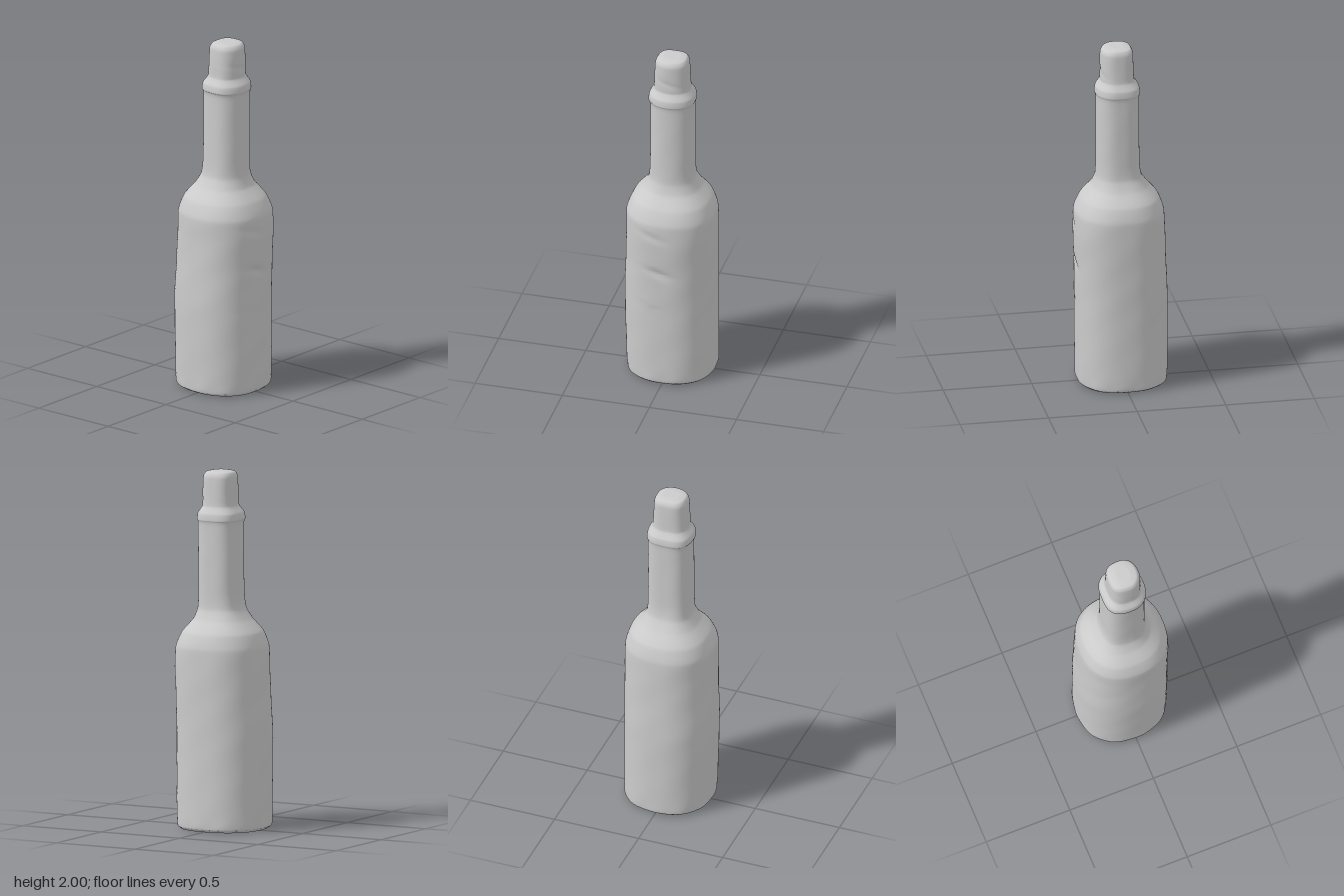
import * as THREE from 'three';

const SIDES = 96;
const STEPS = 10; // rings between two profile rows

// Profile rows: y, left edge (-x), right edge (+x), front (+z), back (-z)
const PROFILE = [
  [0.00, -0.225, 0.225, 0.23, -0.235],
  [0.012, -0.242, 0.242, 0.242, -0.25],
  [0.05, -0.25, 0.25, 0.25, -0.258],
  [0.50, -0.261, 0.251, 0.254, -0.259],
  [0.72, -0.255, 0.252, 0.256, -0.25],
  [0.90, -0.25, 0.253, 0.262, -0.245],
  [1.02, -0.248, 0.25, 0.257, -0.239],
  [1.10, -0.216, 0.222, 0.222, -0.21],
  [1.17, -0.157, 0.165, 0.165, -0.15],
  [1.23, -0.125, 0.135, 0.143, -0.113],
  [1.32, -0.118, 0.129, 0.139, -0.1],
  [1.69, -0.116, 0.13, 0.139, -0.098],
  [1.73, -0.126, 0.136, 0.146, -0.104],
  [1.765, -0.121, 0.131, 0.141, -0.098],
  [1.805, -0.097, 0.108, 0.116, -0.072],
  [1.87, -0.094, 0.103, 0.116, -0.068],
  [1.965, -0.088, 0.098, 0.114, -0.065],
  [1.992, -0.074, 0.084, 0.098, -0.051],
  [2.00, -0.04, 0.05, 0.06, -0.015],
  [2.00, 0.005, 0.005, 0.02, 0.02],
];

// Short slanted dents pressed into the front: x, y, depth
const DENTS = [[-0.02, 0.715, 0.012], [-0.06, 0.95, 0.007], [-0.07, 0.48, 0.005], [0, 1.86, 0.004]];

function profileAt(t) {
  const i = Math.min(Math.floor(t), PROFILE.length - 2), f = t - i;
  const row = (k) => PROFILE[THREE.MathUtils.clamp(k, 0, PROFILE.length - 1)];
  return row(i).map((p, c) => {
    const q = row(i + 1)[c];
    // gentle tangents keep unevenly spaced rows from overshooting
    const m0 = (q - row(i - 1)[c]) * 0.3, m1 = (row(i + 2)[c] - p) * 0.3;
    const g = f * f * (3 - 2 * f);
    const v = p + (q - p) * g + m0 * f * (1 - f) ** 2 - m1 * f * f * (1 - f);
    return THREE.MathUtils.clamp(v, Math.min(p, q), Math.max(p, q));
  });
}

// Irregular ring of the hand-worn surface at profile position t
function ringPoint(t, angle) {
  const [y, left, right, front, back] = profileAt(t);
  const c = Math.cos(angle), s = Math.sin(angle);
  // the back of the neck and cap is squarer, their front rounder
  const rise = THREE.MathUtils.smoothstep(y, 1.05, 1.3);
  const n = THREE.MathUtils.lerp(2.3 + 0.65 * rise, 2.4 - 0.25 * rise, (s + 1) / 2);
  const cx = (left + right) / 2, cz = (front + back) / 2;
  const radius = (Math.abs(c) ** n + Math.abs(s) ** n) ** (-1 / n);
  const ripple = 1 + 0.004 * Math.sin(3 * angle + 9 * y) * Math.sin(17 * y + 2 * angle)
    + 0.006 * Math.sin(11 * angle) * Math.exp(-(((y - 0.03) / 0.03) ** 2));
  const x = cx + c * radius * ripple * (right - left) / 2;
  let z = cz + s * radius * ripple * (front - back) / 2;
  if (s > 0) {
    for (const [dx, dy, depth] of DENTS) {
      const across = (y - dy + 0.3 * (x - dx)) / 0.018, along = (x - dx) / 0.07;
      z -= depth * Math.exp(-across * across - along * along);
    }
  }
  return [x, y, z];
}

// Whole bottle skin as one grid, so normals stay continuous between parts
function buildSkin() {
  const positions = [], index = [];
  const rings = (PROFILE.length - 1) * STEPS;
  for (let r = 0; r <= rings; r++) {
    for (let k = 0; k < SIDES; k++) positions.push(...ringPoint(r / STEPS, (k / SIDES) * Math.PI * 2));
  }
  for (let r = 0; r < rings; r++) {
    for (let k = 0; k < SIDES; k++) {
      const a = r * SIDES + k, b = r * SIDES + (k + 1) % SIDES;
      index.push(a, a + SIDES, b, b, a + SIDES, b + SIDES);
    }
  }
  const skin = new THREE.BufferGeometry();
  skin.setAttribute('position', new THREE.Float32BufferAttribute(positions, 3));
  skin.setIndex(index);
  skin.computeVertexNormals();
  return skin;
}

// Cut the rings between two profile rows out of the skin
function slice(skin, from, to) {
  const a = from * STEPS * SIDES, b = (to * STEPS + 1) * SIDES;
  const part = new THREE.BufferGeometry();
  for (const name of ['position', 'normal']) {
    part.setAttribute(name, new THREE.BufferAttribute(skin.attributes[name].array.slice(a * 3, b * 3), 3));
  }
  const count = (to - from) * STEPS * SIDES * 6;
  part.setIndex(Array.from(skin.index.array.slice(a * 6, a * 6 + count), (v) => v - a));
  return part;
}

export function createModel() {
  const group = new THREE.Group();
  group.name = 'bottle';
  const material = new THREE.MeshStandardMaterial({ color: 0xcccccc });
  const add = (name, geometry) => {
    const mesh = new THREE.Mesh(geometry, material);
    mesh.name = name;
    group.add(mesh);
  };

  const skin = buildSkin();
  add('body', slice(skin, 0, 6));
  add('shoulder', slice(skin, 6, 10));
  add('neck', slice(skin, 10, 11));
  add('collar', slice(skin, 11, 14));
  add('cap', slice(skin, 14, PROFILE.length - 1));

  // Flat underside
  const outline = [];
  for (let k = 0; k < SIDES; k++) {
    const [x, , z] = ringPoint(0, (k / SIDES) * Math.PI * 2);
    outline.push(new THREE.Vector2(x, z));
  }
  add('base', new THREE.ShapeGeometry(new THREE.Shape(outline)).rotateX(Math.PI / 2));
  return group;
}
